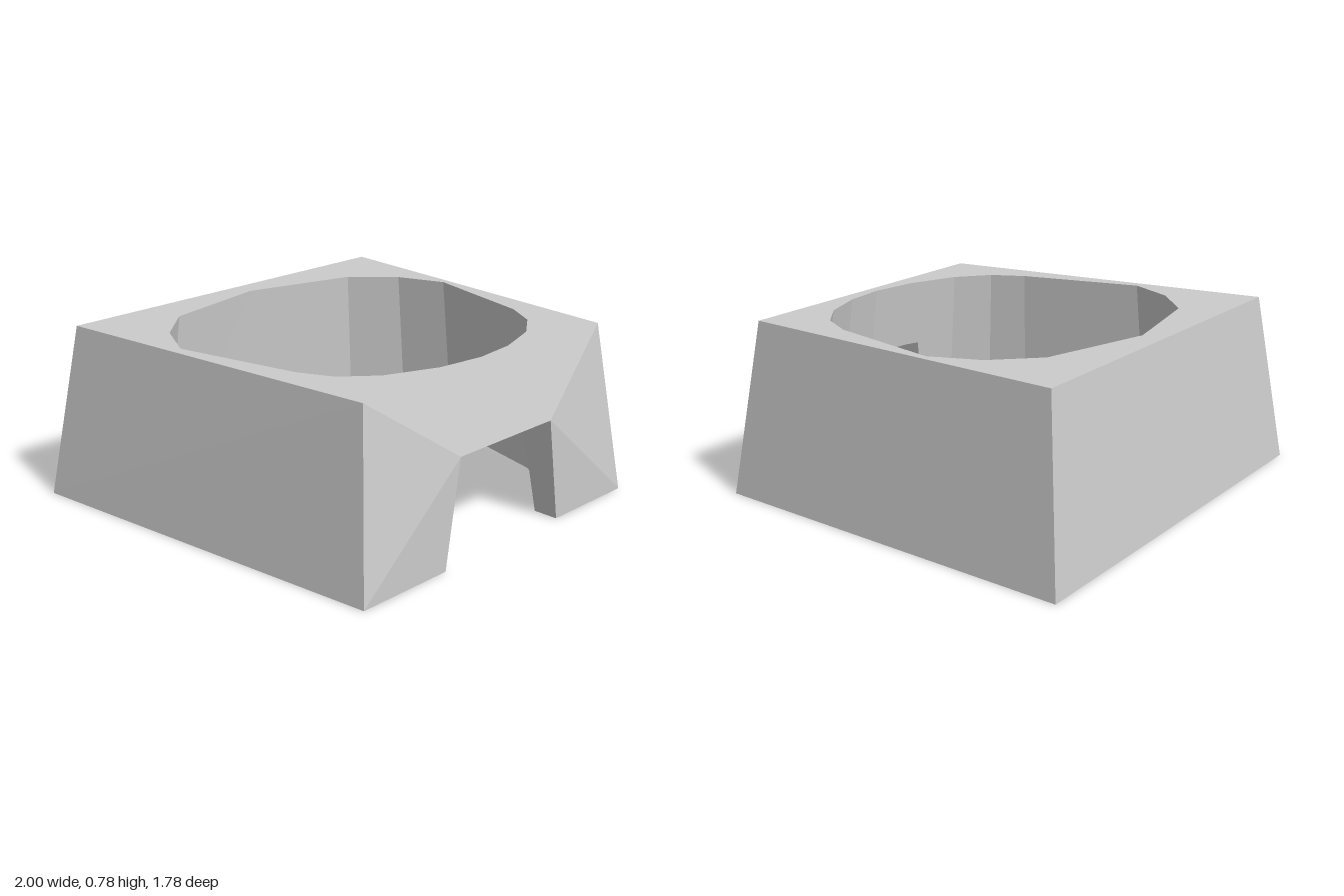
import * as THREE from 'three';

const H = 0.78, NOTCH_H = 0.47, FRONT_Z = 0.89;
const V = (x, y, z) => new THREE.Vector3(x, y, z);

// Faceted opening at the top, as [x, z], clockwise seen from above, starting at the back
const OPENING = [
  [0.03, -0.69], [0.54, -0.55], [0.71, -0.37], [0.79, -0.15], [0.65, 0.39], [0.56, 0.54],
  [0.41, 0.65], [0.2, 0.72], [0, 0.74], [-0.22, 0.71], [-0.45, 0.62], [-0.59, 0.5],
  [-0.66, 0.35], [-0.78, -0.21], [-0.67, -0.42], [-0.48, -0.59],
];
const N = OPENING.length, RIGHT_FACET = 6, LEFT_FACET = 9;

// Opening corner i at height y; the opening widens towards the base
function ring(i, y) {
  const [x, z] = OPENING[i % N], k = 1 - y / H;
  return V(x * (1 + 0.13 * k), y, z * (1 + (z > 0 ? 0.14 : 0.07) * k));
}

// Point on opening facet i at a given x and height
function onFacet(i, x, y) {
  const a = ring(i, y), b = ring(i + 1, y);
  return a.lerp(b, (x - a.x) / (b.x - a.x));
}

// Convex fan around the first corner, counter-clockwise from outside
function fan(out, ...p) {
  for (let i = 1; i < p.length - 1; i++) out.push(p[0], p[i], p[i + 1]);
}

// Horizontal polygon with optional holes, facing up or down
function level(out, contour, holes, up) {
  const flat = (list) => list.map((p) => new THREE.Vector2(p.x, p.z));
  const all = [contour, ...holes].flat();
  for (const t of THREE.ShapeUtils.triangulateShape(flat(contour), holes.map(flat))) {
    const [a, b, c] = t.map((i) => all[i]);
    const ny = (b.z - a.z) * (c.x - a.x) - (b.x - a.x) * (c.z - a.z);
    if ((ny > 0) === up) out.push(a, b, c);
    else out.push(a, c, b);
  }
}

export function createModel() {
  const group = new THREE.Group();
  group.name = 'taperedHousing';
  const material = new THREE.MeshStandardMaterial({ color: 0xcccccc, flatShading: true });
  const part = (name, build) => {
    const out = [];
    build(out);
    const geometry = new THREE.BufferGeometry().setFromPoints(out);
    geometry.computeVertexNormals();
    const mesh = new THREE.Mesh(geometry, material);
    mesh.name = name;
    group.add(mesh);
  };

  // Outer corners: back left, front left, front right, back right
  const base = [V(1, 0, -0.89), V(0.83, 0, FRONT_Z), V(-0.83, 0, FRONT_Z), V(-1, 0, -0.89)];
  const top = [V(0.885, H, -0.79), V(0.735, H, 0.79), V(-0.735, H, 0.79), V(-0.885, H, -0.79)];

  // Notch corners, outside and inside; [0] is +x, [1] is -x
  const sides = [1, -1], facets = [RIGHT_FACET, LEFT_FACET];
  const outLow = sides.map((s) => V(s * 0.363, 0, FRONT_Z));
  const outHigh = sides.map((s) => V(s * 0.288, NOTCH_H, FRONT_Z));
  const inLow = outLow.map((p, k) => onFacet(facets[k], p.x, 0));
  const inHigh = outHigh.map((p, k) => onFacet(facets[k], p.x, NOTCH_H));

  // Sloping side and back walls
  part('outerWalls', (out) => {
    for (const [i, j] of [[0, 1], [2, 3], [3, 0]]) fan(out, base[j], base[i], top[i], top[j]);
  });

  // Front legs and the lintel above the notch
  part('frontWall', (out) => {
    fan(out, outHigh[0], outLow[0], base[1], top[1]);
    fan(out, outHigh[1], top[2], base[2], outLow[1]);
    fan(out, outHigh[1], outHigh[0], top[1], top[2]);
  });

  // Faceted inner wall, cut away at the notch
  part('innerWall', (out) => {
    for (let i = 0; i < N; i++) {
      const t0 = ring(i, H), t1 = ring(i + 1, H), b0 = ring(i, 0), b1 = ring(i + 1, 0);
      const m0 = ring(i, NOTCH_H), m1 = ring(i + 1, NOTCH_H);
      if (i === RIGHT_FACET) fan(out, inHigh[0], m1, t1, t0, b0, inLow[0]);
      else if (i === LEFT_FACET) fan(out, inHigh[1], inLow[1], b1, t1, t0, m0);
      else if (i > RIGHT_FACET && i < LEFT_FACET) fan(out, m0, m1, t1, t0);
      else fan(out, b0, b1, t1, t0);
    }
  });

  // Cheeks and ceiling of the notch
  part('notch', (out) => {
    fan(out, inLow[0], outLow[0], outHigh[0], inHigh[0]);
    fan(out, outLow[1], inLow[1], inHigh[1], outHigh[1]);
    const inner = [];
    for (let i = RIGHT_FACET + 1; i <= LEFT_FACET; i++) inner.push(ring(i, NOTCH_H));
    level(out, [outHigh[1], outHigh[0], inHigh[0], ...inner, inHigh[1]], [], false);
  });

  // Top rim around the opening
  part('topRim', (out) => level(out, top, [OPENING.map((_, i) => ring(i, H))], true));

  // Underside, open at the notch
  part('underside', (out) => {
    const inner = [];
    for (let i = LEFT_FACET + 1; i <= N + RIGHT_FACET; i++) inner.push(ring(i, 0));
    level(out, [outLow[0], base[1], base[0], base[3], base[2], outLow[1], inLow[1],
      ...inner, inLow[0]], [], false);
  });

  return group;
}
